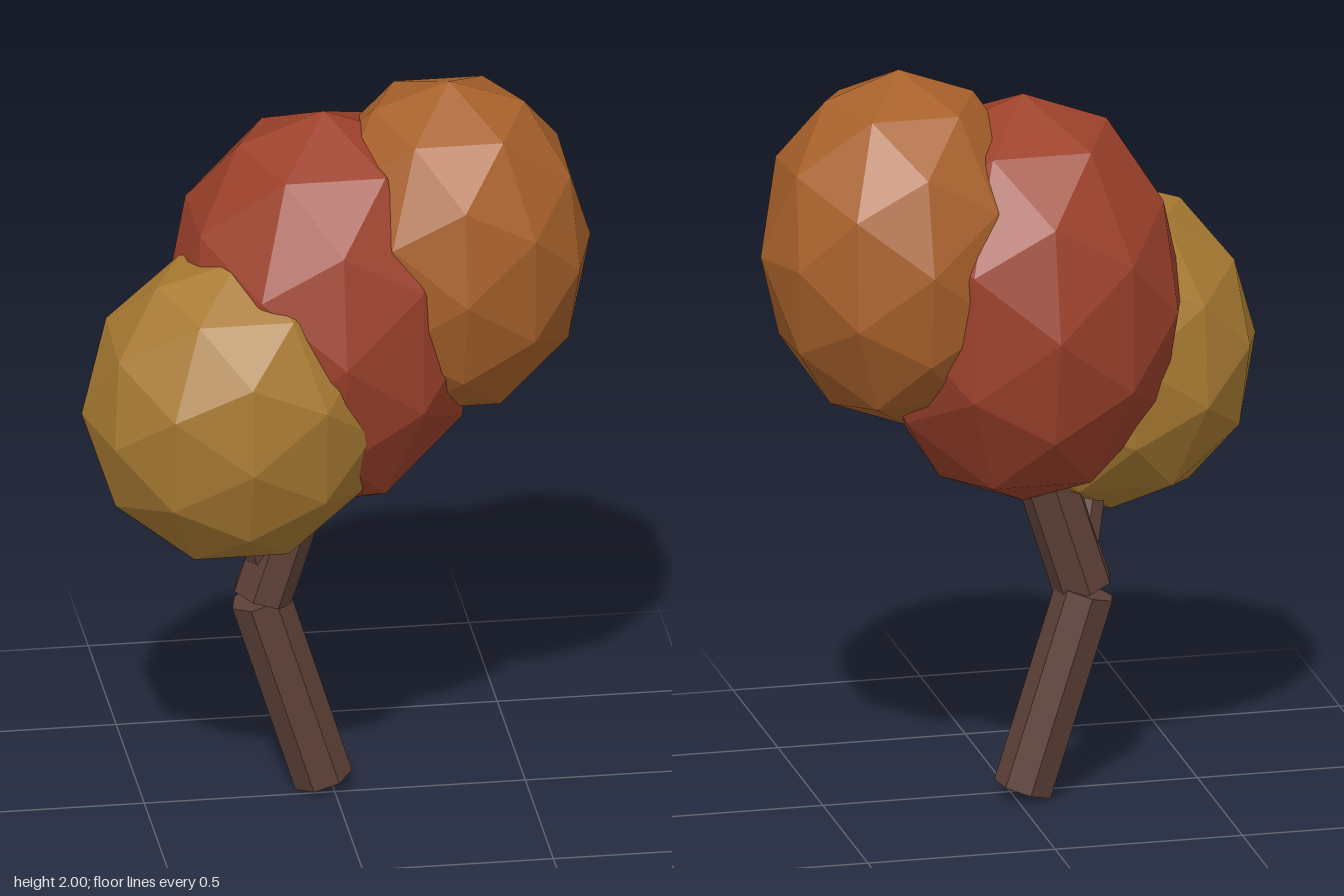
import * as THREE from 'three';

const paint = (color) => new THREE.MeshStandardMaterial({ color, flatShading: true });

// Seven-sided straight log running from one point to another
function log(name, from, to, radius, material) {
  const a = new THREE.Vector3(...from);
  const b = new THREE.Vector3(...to);
  const geometry = new THREE.CylinderGeometry(radius, radius, a.distanceTo(b), 7, 1);
  geometry.rotateY(Math.PI);
  const mesh = new THREE.Mesh(geometry, material);
  mesh.name = name;
  mesh.position.copy(a).add(b).multiplyScalar(0.5);
  mesh.quaternion.setFromUnitVectors(new THREE.Vector3(0, 1, 0), b.sub(a).normalize());
  return mesh;
}

// Faceted ellipsoid of leaves, leaning a little forward
function leafBall(name, center, radii, lean, color) {
  const mesh = new THREE.Mesh(new THREE.IcosahedronGeometry(1, 1), paint(color));
  mesh.name = name;
  mesh.position.set(...center);
  mesh.scale.set(...radii);
  mesh.rotation.x = lean;
  return mesh;
}

export function createModel() {
  const tree = new THREE.Group();
  tree.name = 'tree';
  const bark = paint(0x5d4037);

  // Bent trunk and its small side branch
  tree.add(
    log('lowerTrunk', [-0.025, 0.024, -0.046], [-0.19, 0.55, -0.046], 0.08, bark),
    log('upperTrunk', [-0.187, 0.558, -0.034], [-0.04, 1.02, -0.034], 0.08, bark),
    log('sideBranch', [-0.19, 0.68, -0.02], [-0.25, 1.0, 0.05], 0.045, bark),
  );

  // Crown
  tree.add(
    leafBall('middleFoliage', [-0.022, 1.365, -0.05], [0.425, 0.555, 0.425], 0, 0x9c412b),
    leafBall('upperFoliage', [0.302, 1.525, -0.048], [0.376, 0.475, 0.373], 0.07, 0xa8612b),
    leafBall('lowerFoliage', [-0.28, 1.17, 0.105], [0.4, 0.436, 0.366], 0.13, 0xa87a32),
  );
  return tree;
}
